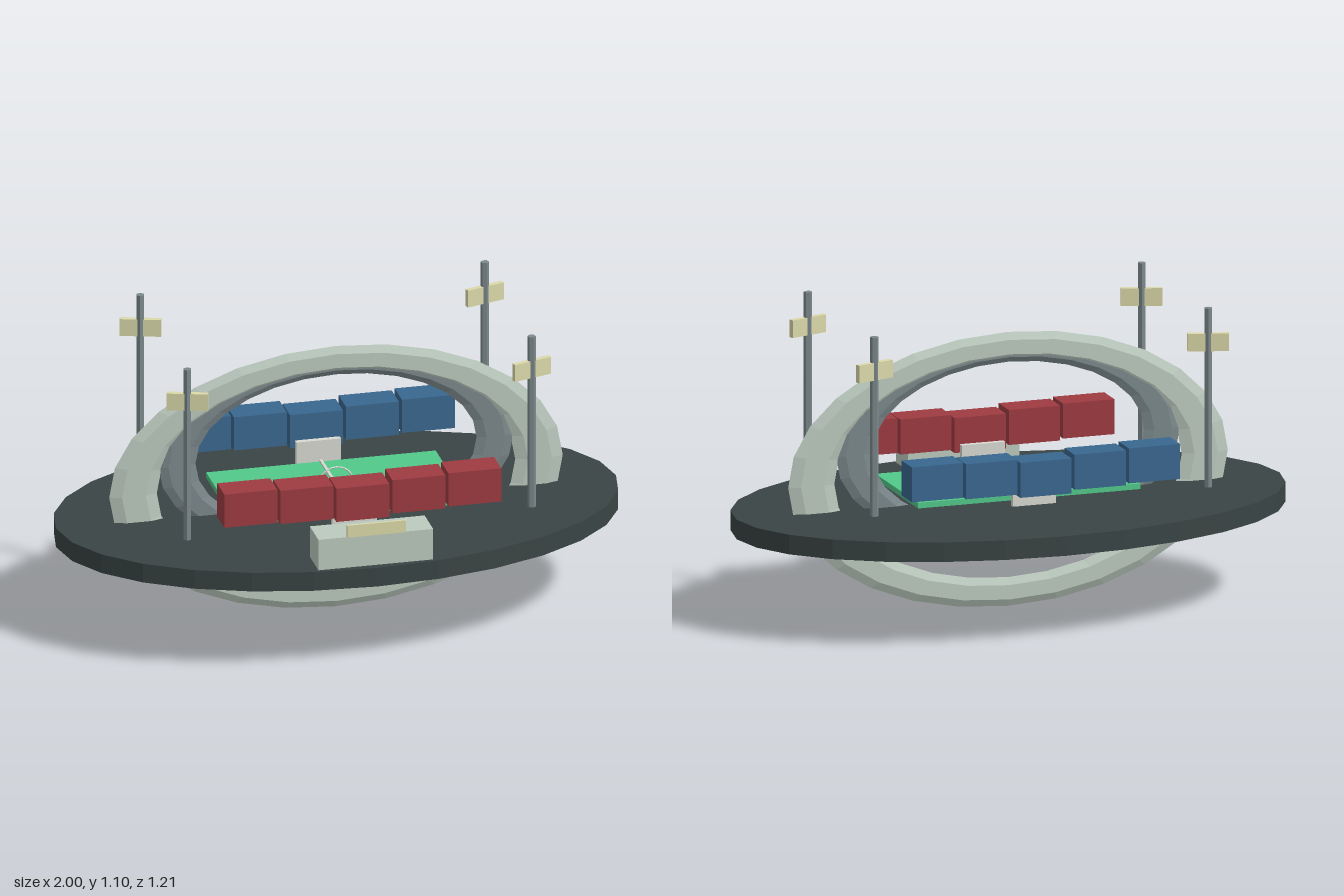
import * as THREE from 'three';

const mat = (color) => new THREE.MeshStandardMaterial({ color, flatShading: true });

export function createModel() {
  const model = new THREE.Group();
  const base = mat(0x3a4444), pale = mat(0xbccabf), slate = mat(0x7c898c), white = mat(0xd8dad2);
  const red = mat(0x9e3c42), blue = mat(0x3a6890), green = mat(0x52c98a), lamp = mat(0xdcdaaa);

  const add = (name, geometry, material, x, y, z, parent = model) => {
    const mesh = new THREE.Mesh(geometry, material);
    mesh.name = name;
    mesh.position.set(x, y, z);
    parent.add(mesh);
    return mesh;
  };
  const box = (name, w, h, d, material, x, y, z, parent) =>
    add(name, new THREE.BoxGeometry(w, h, d), material, x, y, z, parent);

  // Oval platform
  add('platform', new THREE.CylinderGeometry(1, 1, 0.07, 28).rotateY(Math.PI / 2), base, 0, 0.363, 0)
    .scale.z = 0.607;

  // Flattened rings that pass through the platform
  add('outerRing', new THREE.TorusGeometry(0.725, 0.085, 6, 28), pale, 0, 0.495, 0).scale.set(1, 0.605, 0.19);
  add('innerRing', new THREE.TorusGeometry(0.568, 0.066, 6, 28), slate, 0, 0.592, 0).scale.set(1, 0.57, 0.19);

  // Pitch with centre line and upright centre hoop
  box('pitch', 0.82, 0.02, 0.44, green, 0, 0.45, 0);
  box('centreLine', 0.01, 0.007, 0.44, white, 0, 0.4635, 0);
  add('centreHoop', new THREE.TorusGeometry(0.062, 0.003, 4, 24), white, 0, 0.467, 0);

  // Seating blocks and scoreboards on both sides
  const seatY = [0.554, 0.566, 0.572];
  for (const side of [1, -1]) {
    const stand = new THREE.Group();
    stand.name = side > 0 ? 'frontStand' : 'backStand';
    for (let i = -2; i <= 2; i++) {
      box('seatingBlock', 0.189, 0.125, 0.105, side > 0 ? red : blue, i * 0.2, seatY[Math.abs(i)], side * 0.338, stand);
    }
    model.add(stand);
    box('sideBoard', 0.16, 0.095, 0.02, white, 0, 0.478, side * 0.262);
  }

  // Floodlights at the four corners
  for (const sx of [-1, 1]) {
    for (const sz of [-1, 1]) {
      const light = new THREE.Group();
      light.name = 'floodlight';
      light.position.set(sx * 0.615, 0, sz * 0.342);
      light.rotation.y = sx * 0.3;
      add('pole', new THREE.CylinderGeometry(0.015, 0.015, 0.64, 6), slate, 0, 0.78, 0, light);
      box('lampPanel', 0.145, 0.063, 0.019, lamp, 0, 0.978, 0, light);
      model.add(light);
    }
  }

  // Entrance building with a plain sign plate
  box('entrance', 0.41, 0.115, 0.125, pale, 0, 0.455, 0.517);
  box('signPlate', 0.21, 0.045, 0.008, lamp, 0, 0.538, 0.588);

  return model;
}
